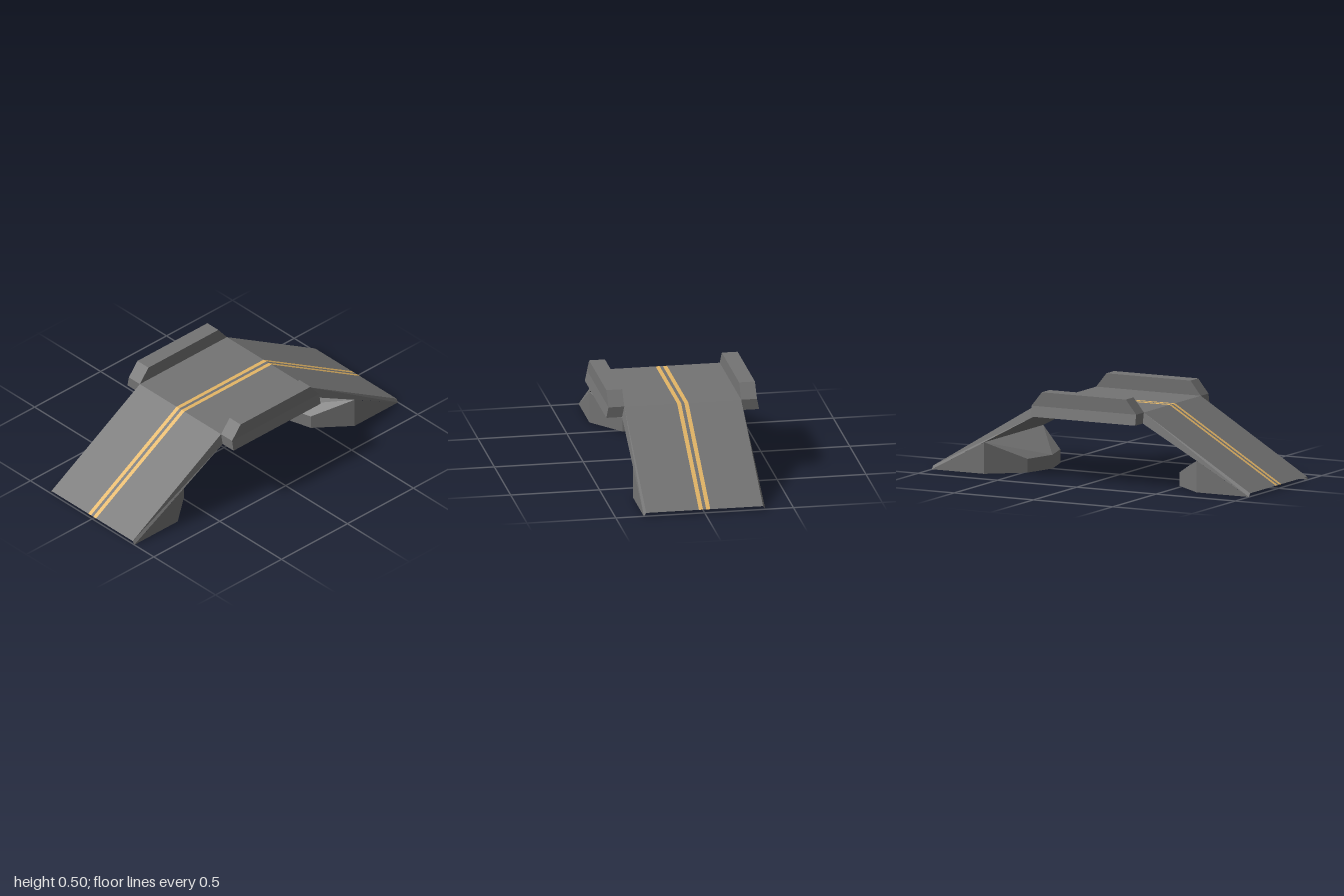
import * as THREE from 'three';

const asphalt = new THREE.MeshStandardMaterial({ color: 0x747474, flatShading: true, side: THREE.DoubleSide });
const yellow = new THREE.MeshStandardMaterial({ color: 0xe4b666, flatShading: true, side: THREE.DoubleSide });

// Flat-faced mesh from convex polygons (corners counter-clockwise from outside)
function faces(name, polys, material = asphalt) {
  const pos = [];
  for (const p of polys)
    for (let i = 1; i < p.length - 1; i++) pos.push(...p[0], ...p[i], ...p[i + 1]);
  const g = new THREE.BufferGeometry();
  g.setAttribute('position', new THREE.Float32BufferAttribute(pos, 3));
  g.computeVertexNormals();
  const mesh = new THREE.Mesh(g, material);
  mesh.name = name;
  return mesh;
}

// Mirror polygons in x and z, keeping them facing outwards
function mirror(polys, sx, sz) {
  return polys.map(p => {
    const q = p.map(([x, y, z]) => [x * sx, y, z * sz]);
    return sx * sz < 0 ? q.reverse() : q;
  });
}
const bothZ = (polys, sx) => [...mirror(polys, sx, 1), ...mirror(polys, sx, -1)];

// Lengthwise strip of the road surface between two z values
const roadLine = [[-1, 0.019], [-0.33, 0.42], [0.33, 0.42], [1, 0.019]];
function roadStrip(z0, z1) {
  return [0, 1, 2].map(i => {
    const [a, b] = [roadLine[i], roadLine[i + 1]];
    return [[...a, z1], [...b, z1], [...b, z0], [...a, z0]];
  });
}

// Solid through a stack of rectangles [half length, y, inner z, outer z]
function stack(levels) {
  const rings = levels.map(([x, y, z0, z1]) => [[-x, y, z1], [x, y, z1], [x, y, z0], [-x, y, z0]]);
  const polys = [[...rings[0]].reverse(), rings[rings.length - 1]];
  for (let k = 0; k < rings.length - 1; k++)
    for (let i = 0; i < 4; i++) {
      const j = (i + 1) % 4;
      polys.push([rings[k][i], rings[k][j], rings[k + 1][j], rings[k + 1][i]]);
    }
  return polys;
}

export function createModel() {
  const model = new THREE.Group();
  model.name = 'roadBridge';
  const W = 0.329, B = 0.342; // half width at the road and at the base

  // Road surface with two painted lines set into it
  model.add(faces('roadSurface', [
    ...roadStrip(-W, -0.032), ...roadStrip(-0.009, 0.009), ...roadStrip(0.032, W),
  ]));
  model.add(faces('backRoadLine', roadStrip(-0.032, -0.009), yellow));
  model.add(faces('frontRoadLine', roadStrip(0.009, 0.032), yellow));

  // Flat underside of the raised middle
  model.add(faces('middleUnderside', [[[-0.33, 0.36, -W], [0.33, 0.36, -W], [0.33, 0.36, W], [-0.33, 0.36, W]]]));

  // Ramp edges, side walls and sloping undersides, open at the foot of the ramp
  const tip = [1, 0.019, W], crest = [0.33, 0.42, W], under = [0.33, 0.36, B];
  const knee = [0.67, 0.177, B], kneeBase = [0.67, 0, B], tipBase = [1, 0, B];
  const rampSide = [[crest, under, tipBase, tip], [knee, kneeBase, tipBase]];
  const rampUnderside = [[under, [0.33, 0.36, 0], [0.67, 0.177, 0], knee]];

  // Hollow abutment: walls bowing inwards under a sloping top
  const shoulder = [0.48, 0.077, 0.19], nose = [0.426, 0.077, 0];
  const base = ([x, , z]) => [x, 0, z];
  const abutment = [
    [base(shoulder), kneeBase, knee, shoulder],
    [base(nose), base(shoulder), shoulder, nose],
    [knee, [0.67, 0.177, 0], nose],
    [knee, nose, shoulder],
  ];

  for (const [side, sx] of [['left', 1], ['right', -1]]) {
    model.add(faces(side + 'RampSides', bothZ(rampSide, sx)));
    model.add(faces(side + 'RampUnderside', bothZ(rampUnderside, sx)));
    model.add(faces(side + 'Abutment', bothZ(abutment, sx)));
  }

  // Parapets along the raised middle
  const parapet = stack([[0.33, 0.36, W, 0.43], [0.33, 0.42, W, 0.418], [0.265, 0.5, W, 0.418]]);
  model.add(faces('frontParapet', parapet));
  model.add(faces('backParapet', mirror(parapet, 1, -1)));

  return model;
}
